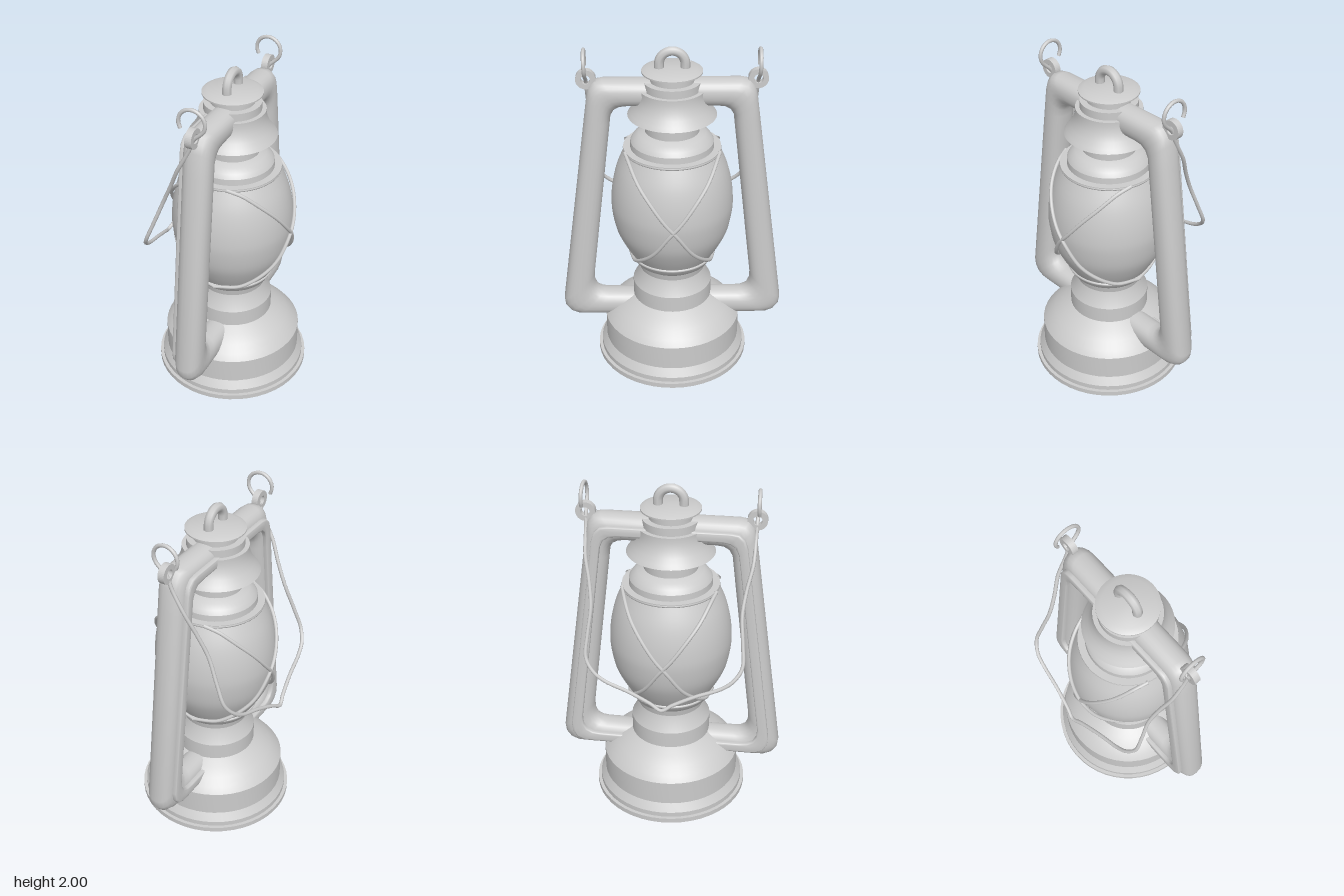
import * as THREE from 'three';
import { toCreasedNormals } from 'three/addons/utils/BufferGeometryUtils.js';

const material = new THREE.MeshStandardMaterial({ color: 0xcccccc, side: THREE.DoubleSide });
const V2 = (p) => new THREE.Vector2(p[0], p[1]);
const V3 = (p) => new THREE.Vector3(p[0], p[1], p[2]);

// Round part from [radius, y] points, with sharp steps kept sharp
function lathe(points) {
  return toCreasedNormals(new THREE.LatheGeometry(points.map(V2), 48), 0.45);
}

// Round wire through points
function wire(points, radius, steps = 48) {
  return new THREE.TubeGeometry(new THREE.CatmullRomCurve3(points), steps, radius, 8);
}

// Side arm edges in the z-y plane: inner z, inner y, outer z, outer y
const armSections = [
  [0.2, 0.41, 0.2, 0.25], [0.38, 0.41, 0.52, 0.25], [0.42, 0.415, 0.59, 0.252],
  [0.455, 0.435, 0.635, 0.272], [0.473, 0.475, 0.662, 0.31], [0.475, 0.53, 0.668, 0.36],
  [0.35, 1.56, 0.495, 1.58], [0.345, 1.6, 0.475, 1.72], [0.325, 1.635, 0.46, 1.775],
  [0.29, 1.655, 0.43, 1.807], [0.24, 1.66, 0.39, 1.815], [0.1, 1.66, 0.1, 1.815],
];

// Sweeps a rounded section along the arm; scale narrows it, power below 1 makes it boxier
function armSweep(side, centreX, halfX, scale, power) {
  const n = 24, position = [], index = [];
  const bend = (v) => Math.sign(v) * Math.abs(v) ** power;
  armSections.forEach(([zi, yi, zo, yo], i) => {
    for (let j = 0; j < n; j++) {
      const a = (j / n) * Math.PI * 2;
      const c = bend(Math.cos(a)) * scale, s = bend(Math.sin(a));
      position.push(
        centreX + side * halfX * s,
        (yi + yo) / 2 + ((yo - yi) / 2) * c,
        side * ((zi + zo) / 2 + ((zo - zi) / 2) * c));
      if (i === 0) continue;
      const k = (j + 1) % n, p = (i - 1) * n, q = i * n;
      index.push(p + j, p + k, q + k, p + j, q + k, q + j);
    }
  });
  const g = new THREE.BufferGeometry();
  g.setAttribute('position', new THREE.Float32BufferAttribute(position, 3));
  g.setIndex(index);
  return toCreasedNormals(g, 0.7);
}

export function createModel() {
  const model = new THREE.Group();
  model.name = 'lantern';
  const add = (name, geometry) => {
    const mesh = new THREE.Mesh(geometry, material);
    mesh.name = name;
    model.add(mesh);
    return mesh;
  };

  // Fuel tank with its foot rim and shoulder
  add('fuelTank', lathe([
    [0, 0], [0.462, 0], [0.462, 0.03], [0.442, 0.03], [0.442, 0.06], [0.412, 0.11],
    [0.412, 0.26], [0.385, 0.295], [0.34, 0.335], [0.29, 0.37], [0.237, 0.4], [0, 0.4],
  ]));

  // Burner and the cup that holds the glass
  add('burner', lathe([
    [0.237, 0.38], [0.237, 0.5], [0.208, 0.555], [0.196, 0.6], [0.205, 0.64], [0, 0.64],
  ]));
  add('globeCup', lathe([
    [0, 0.635], [0.2, 0.635], [0.226, 0.655], [0.246, 0.69], [0.246, 0.7], [0, 0.7],
  ]));

  // Glass globe
  const globe = new THREE.SplineCurve([
    [0.235, 0.69], [0.288, 0.78], [0.332, 0.88], [0.354, 1.0], [0.355, 1.09],
    [0.342, 1.19], [0.315, 1.29], [0.268, 1.4],
  ].map(V2));
  add('globe', new THREE.LatheGeometry(globe.getPoints(28), 48));

  // Crossed guard wires lying on both sides of the globe
  for (const side of [1, -1]) {
    for (const slant of [1, -1]) {
      const points = [];
      for (let i = 0; i <= 20; i++) {
        const p = globe.getPoint(i / 20);
        const z = THREE.MathUtils.lerp(-0.25, 0.268, i / 20);
        const r = p.x + 0.014;
        points.push(V3([side * Math.sqrt(Math.max(0, r * r - z * z)), p.y, slant * z]));
      }
      add('guardWire', wire(points, 0.011));
    }
  }
  for (const [r, y] of [[0.24, 0.695], [0.272, 1.393]]) {
    add('guardRing', new THREE.TorusGeometry(r, 0.01, 8, 48).rotateX(Math.PI / 2)).position.y = y;
  }

  // Collar above the globe, and chimney
  add('globeCollar', lathe([
    [0, 1.388], [0.28, 1.388], [0.28, 1.404], [0.24, 1.404], [0.238, 1.44], [0.222, 1.465],
    [0.192, 1.487], [0.155, 1.502], [0.155, 1.62],
  ]));

  // Vented hood with stepped top
  add('hood', lathe([
    [0, 1.605], [0.252, 1.602], [0.238, 1.622], [0.215, 1.652], [0.197, 1.69], [0.187, 1.73],
    [0.187, 1.76], [0.162, 1.76], [0.162, 1.805], [0.125, 1.805], [0.125, 1.86],
  ]));
  add('cap', lathe([[0, 1.855], [0.17, 1.855], [0.17, 1.863], [0.14, 1.876], [0, 1.88]]));

  // Lifting loop on the cap
  const loop = [V3([0, 1.86, 0.072])];
  for (let i = 0; i <= 12; i++) {
    const a = (i / 12) * Math.PI;
    loop.push(V3([0, 1.901 + 0.072 * Math.sin(a), 0.072 * Math.cos(a)]));
  }
  loop.push(V3([0, 1.86, -0.072]));
  add('liftingLoop', wire(loop, 0.027, 32));

  // Side arms, each with a raised seam, and lugs for the handle
  for (const side of [1, -1]) {
    add('sideArm', armSweep(side, 0, 0.083, 1, 0.85));
    add('armSeam', armSweep(side, -0.085, 0.021, 0.36, 0.4));

    const ring = new THREE.Shape().absarc(0, 0, 0.056, 0, Math.PI * 2);
    ring.holes.push(new THREE.Path().absarc(0, 0, 0.026, 0, Math.PI * 2, true));
    const lug = new THREE.ExtrudeGeometry(ring, { depth: 0.038, bevelEnabled: false, curveSegments: 20 });
    lug.translate(0, 0, -0.019).rotateY(Math.PI / 2);
    add('handleLug', lug).position.set(0, 1.815, side * 0.476);
  }

  // Wire handle hanging to one side, curled through each lug
  const half = [];
  for (let i = 0; i <= 12; i++) {
    const a = 3.7 - (i / 12) * 4.6;
    half.push([0.075 * Math.cos(a), 1.905 + 0.075 * Math.sin(a), 0.486 - 0.008 * (i / 12)]);
  }
  half.push(
    [0.005, 1.805, 0.475], [-0.03, 1.72, 0.473], [-0.1, 1.59, 0.468], [-0.16, 1.46, 0.44],
    [-0.22, 1.33, 0.424], [-0.28, 1.18, 0.438], [-0.33, 1.06, 0.442], [-0.365, 0.99, 0.395],
    [-0.38, 0.945, 0.33], [-0.4, 0.895, 0.19], [-0.425, 0.84, 0.06]);
  const mirrored = half.map(([x, y, z]) => [x, y, -z]).reverse();
  add('wireHandle', wire([...half, [-0.44, 0.81, 0], ...mirrored].map(V3), 0.011, 220));

  return model;
}
